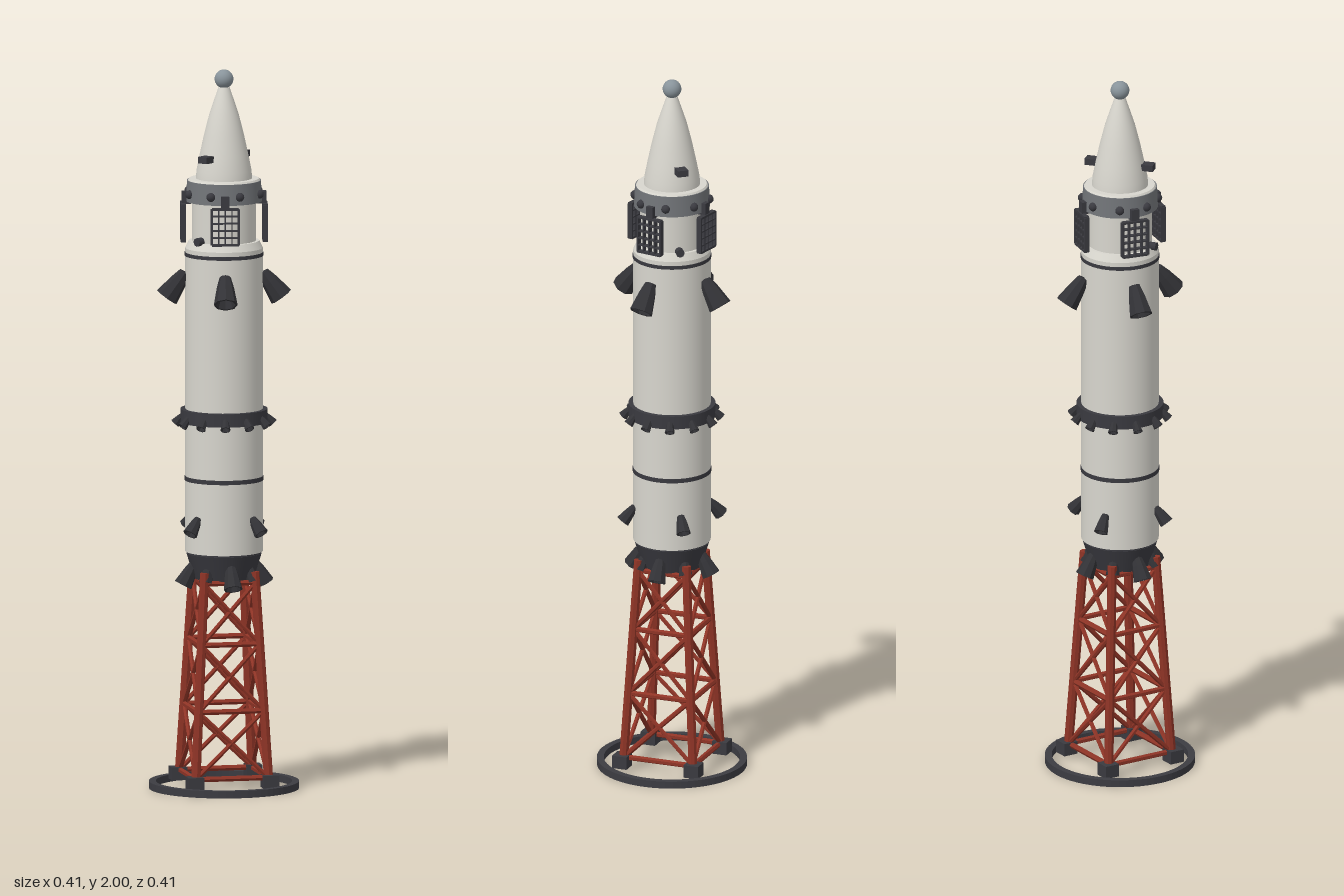
import * as THREE from 'three';

const mat = (name, color, flatShading = false) => {
  const m = new THREE.MeshStandardMaterial({ color, flatShading });
  m.name = name;
  return m;
};

export function createModel() {
  const root = new THREE.Group();
  root.name = 'rocketOnTower';
  const cream = mat('creamHull', 0xd8d6ce);
  const dark = mat('charcoal', 0x3a3a40);
  const black = mat('nozzleBlack', 0x323236, true);
  const red = mat('towerRed', 0x8f3426, true);
  const steel = mat('collarGrey', 0x727579);
  const tip = mat('tipBlueGrey', 0x89949b);

  const add = (name, geo, material, parent = root) => {
    const m = new THREE.Mesh(geo, material);
    m.name = name;
    parent.add(m);
    return m;
  };
  // upright cylinder between two heights
  const drum = (name, material, y0, y1, r0, r1 = r0) => {
    const m = add(name, new THREE.CylinderGeometry(r1, r0, y1 - y0, 48), material);
    m.position.y = (y0 + y1) / 2;
    return m;
  };
  // put an object at an angle round the hull, its local +x facing outward
  const place = (obj, deg, r, y, lean = 0) => {
    const a = THREE.MathUtils.degToRad(deg);
    obj.position.set(r * Math.cos(a), y, r * Math.sin(a));
    obj.rotation.set(0, -a, lean);
    return obj;
  };
  const around = (n, start, fn) => {
    for (let i = 0; i < n; i++) fn(start + (i * 360) / n);
  };
  // straight bar between two points
  const bar = (name, a, b, r, material, parent, sides = 6) => {
    const d = b.clone().sub(a);
    const m = add(name, new THREE.CylinderGeometry(r, r, d.length(), sides), material, parent);
    m.position.copy(a).add(b).multiplyScalar(0.5);
    m.quaternion.setFromUnitVectors(new THREE.Vector3(0, 1, 0), d.normalize());
  };

  // ---- base ring ----
  const ringProfile = [[0.188, 0], [0.207, 0], [0.207, 0.02], [0.188, 0.02], [0.188, 0]];
  const ringMat = mat('ringCharcoal', 0x3c3c42, true);
  add('baseRing', new THREE.LatheGeometry(ringProfile.map(p => new THREE.Vector2(...p)), 64), ringMat);

  // ---- lattice tower ----
  const tower = new THREE.Group();
  tower.name = 'latticeTower';
  root.add(tower);
  const corners = [[1, 1], [-1, 1], [-1, -1], [1, -1]];
  const levels = [0.04, 0.225, 0.41, 0.58];
  const at = (c, y) => {
    const h = 0.103 - 0.031 * (y - 0.03) / 0.56;
    return new THREE.Vector3(c[0] * h, y, c[1] * h);
  };
  corners.forEach((c, i) => {
    const n = corners[(i + 1) % 4];
    bar('towerLeg', at(c, 0.03), at(c, 0.61), 0.013, red, tower, 8);
    const foot = add('towerFoot', new THREE.BoxGeometry(0.043, 0.036, 0.043), dark, tower);
    foot.position.set(c[0] * 0.106, 0.03, c[1] * 0.106);
    levels.forEach((y, k) => {
      bar('crossBar', at(c, y), at(n, y), 0.008, red, tower);
      if (k < 3) {
        bar('diagonalBrace', at(c, y), at(n, levels[k + 1]), 0.0065, red, tower);
        bar('diagonalBrace', at(n, y), at(c, levels[k + 1]), 0.0065, red, tower);
      }
    });
  });

  // ---- hull ----
  drum('engineSkirt', dark, 0.585, 0.655, 0.082, 0.104);
  drum('lowerSeam', dark, 0.652, 0.66, 0.102);
  drum('lowerHull', cream, 0.66, 1.03, 0.107);
  drum('hullStripe', dark, 0.858, 0.87, 0.1085);
  drum('middleBand', dark, 1.02, 1.057, 0.12);
  drum('upperHull', cream, 1.05, 1.505, 0.107);
  drum('upperStripe', dark, 1.483, 1.493, 0.1085);
  drum('shoulder', cream, 1.505, 1.525, 0.107, 0.097);
  drum('neck', cream, 1.525, 1.64, 0.088);
  drum('collar', steel, 1.635, 1.693, 0.105, 0.102);
  drum('collarTop', cream, 1.692, 1.698, 0.1, 0.096);

  // ---- nose ----
  const nose = [[0.078, 1.69], [0.076, 1.72], [0.067, 1.765], [0.055, 1.82], [0.041, 1.875], [0.026, 1.92], [0.015, 1.952]];
  add('noseCone', new THREE.LatheGeometry(nose.map(p => new THREE.Vector2(...p)), 48), cream);
  add('noseTip', new THREE.SphereGeometry(0.026, 24, 16), tip).position.y = 1.974;

  // ---- faceted nozzles ----
  const bell = [[0, 0], [0.016, 0.003], [0.024, 0.035], [0.033, 0.088], [0.027, 0.088], [0.013, 0.05], [0, 0.05]];
  const bellGeo = new THREE.LatheGeometry(bell.map(p => new THREE.Vector2(...p)), 8);
  const nozzle = (name, deg, r, y, size, tilt) => {
    const m = place(add(name, bellGeo, black), deg, r, y, Math.PI + tilt);
    m.scale.setScalar(size);
  };
  around(4, 11, a => nozzle('largeNozzle', a, 0.106, 1.438, 1, 0.63));
  around(4, 55, a => nozzle('smallNozzle', a, 0.104, 0.762, 0.62, 0.7));
  around(4, 0, a => nozzle('skirtNozzle', a, 0.082, 0.63, 0.8, 0.5));
  around(4, 45, a => nozzle('skirtNozzle', a, 0.075, 0.63, 0.6, 0.4));
  around(12, 11, a => nozzle('bandNozzle', a, 0.11, 1.042, 0.42, 0.75));

  // ---- collar fittings ----
  around(8, 33, a => place(add('collarPort', new THREE.SphereGeometry(0.0125, 10, 8), dark), a, 0.104, 1.658));
  for (const a of [146, -34]) {
    place(add('shoulderThruster', new THREE.CylinderGeometry(0.012, 0.012, 0.02, 8), dark), a, 0.1, 1.53, Math.PI / 2);
  }
  for (const a of [140, -40]) {
    place(add('noseAntenna', new THREE.BoxGeometry(0.035, 0.018, 0.03), dark), a, 0.081, 1.758);
  }

  // ---- folded lattice panels, each hung from a bracket ----
  around(4, 11, a => {
    const panel = place(new THREE.Group(), a, 0.113, 1.577);
    panel.name = 'latticePanel';
    root.add(panel);
    const W = 0.074, H = 0.1;
    for (let i = 0; i <= 4; i++) {
      const t = i % 4 ? 0.0035 : 0.006;
      add('panelUpright', new THREE.BoxGeometry(0.014, H, t), dark, panel).position.z = (i / 4 - 0.5) * W;
    }
    for (let j = 0; j <= 5; j++) {
      const t = j % 5 ? 0.0035 : 0.006;
      add('panelRail', new THREE.BoxGeometry(0.014, t, W), dark, panel).position.y = (j / 5 - 0.5) * H;
    }
    place(add('panelBracket', new THREE.BoxGeometry(0.025, 0.034, 0.022), dark), a, 0.104, 1.645);
  });

  return root;
}
